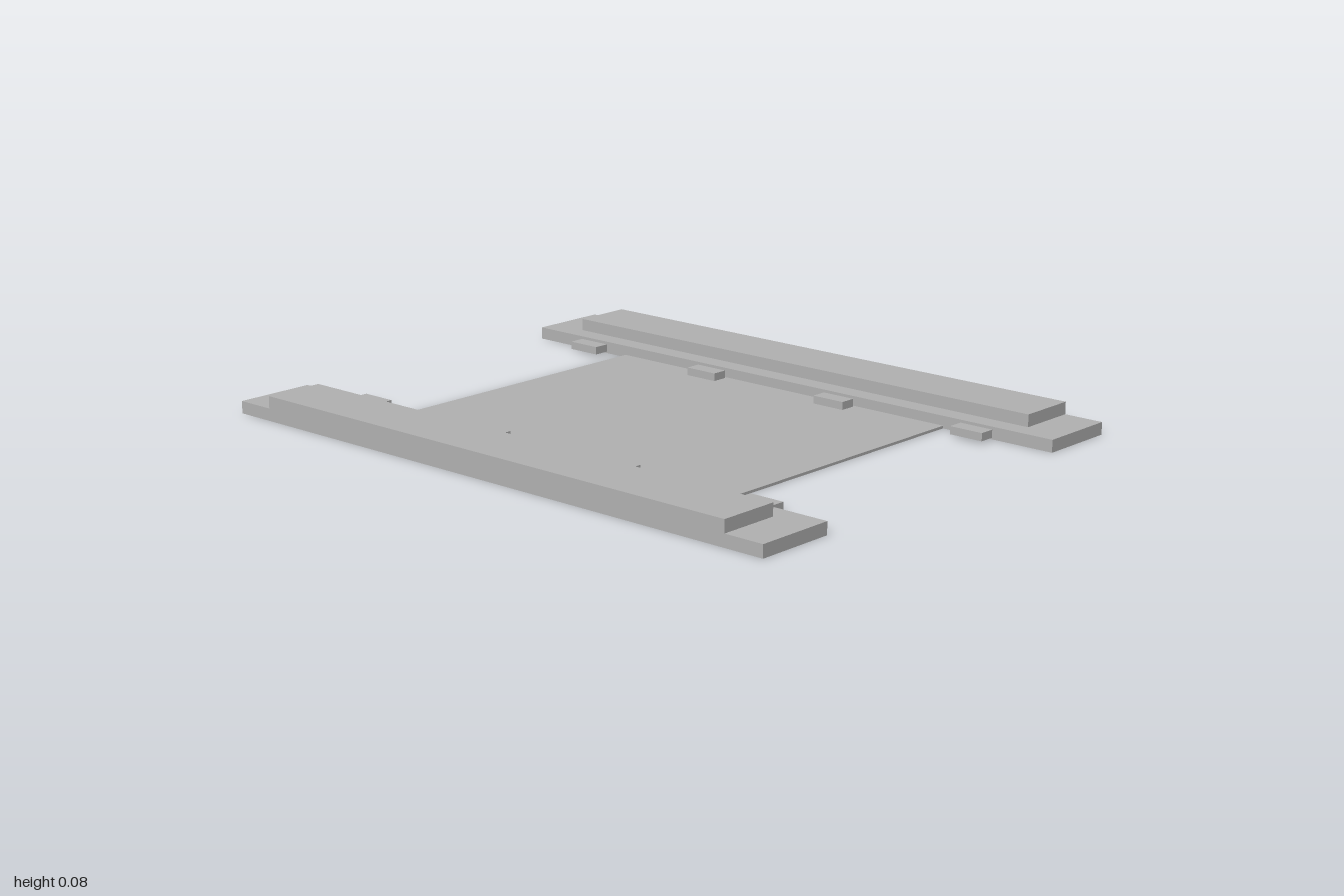
import * as THREE from 'three';

export function createModel() {
  const model = new THREE.Group();
  const grey = new THREE.MeshStandardMaterial({ color: 0xb0b0b0 });
  grey.name = 'plain grey';

  // Box given by its min and max along each axis
  function box(name, [x0, x1], [y0, y1], [z0, z1]) {
    const mesh = new THREE.Mesh(new THREE.BoxGeometry(x1 - x0, y1 - y0, z1 - z0), grey);
    mesh.position.set((x0 + x1) / 2, (y0 + y1) / 2, (z0 + z1) / 2);
    mesh.name = name;
    model.add(mesh);
  }

  // Thin floor between the two side platforms
  box('floorPlate', [-0.5, 0.5], [0, 0.008], [-0.625, 0.625]);

  for (const [side, s] of [['left', 1], ['right', -1]]) {
    const span = (a, b) => (s > 0 ? [a, b] : [-b, -a]);

    // Stepped side platform: long lower step, shorter upper step flush outside
    box(side + 'LowerStep', span(0.5, 0.75), [0, 0.0375], [-1, 1]);
    box(side + 'UpperStep', span(0.5625, 0.75), [0.0375, 0.075], [-0.875, 0.875]);

    // Row of four small blocks along the inner edge
    [-0.75, -0.25, 0.25, 0.75].forEach((z, i) => {
      box(side + 'Block' + (i + 1), span(0.4375, 0.4875), [0.009, 0.033], [z - 0.055, z + 0.055]);
    });
  }
  return model;
}
